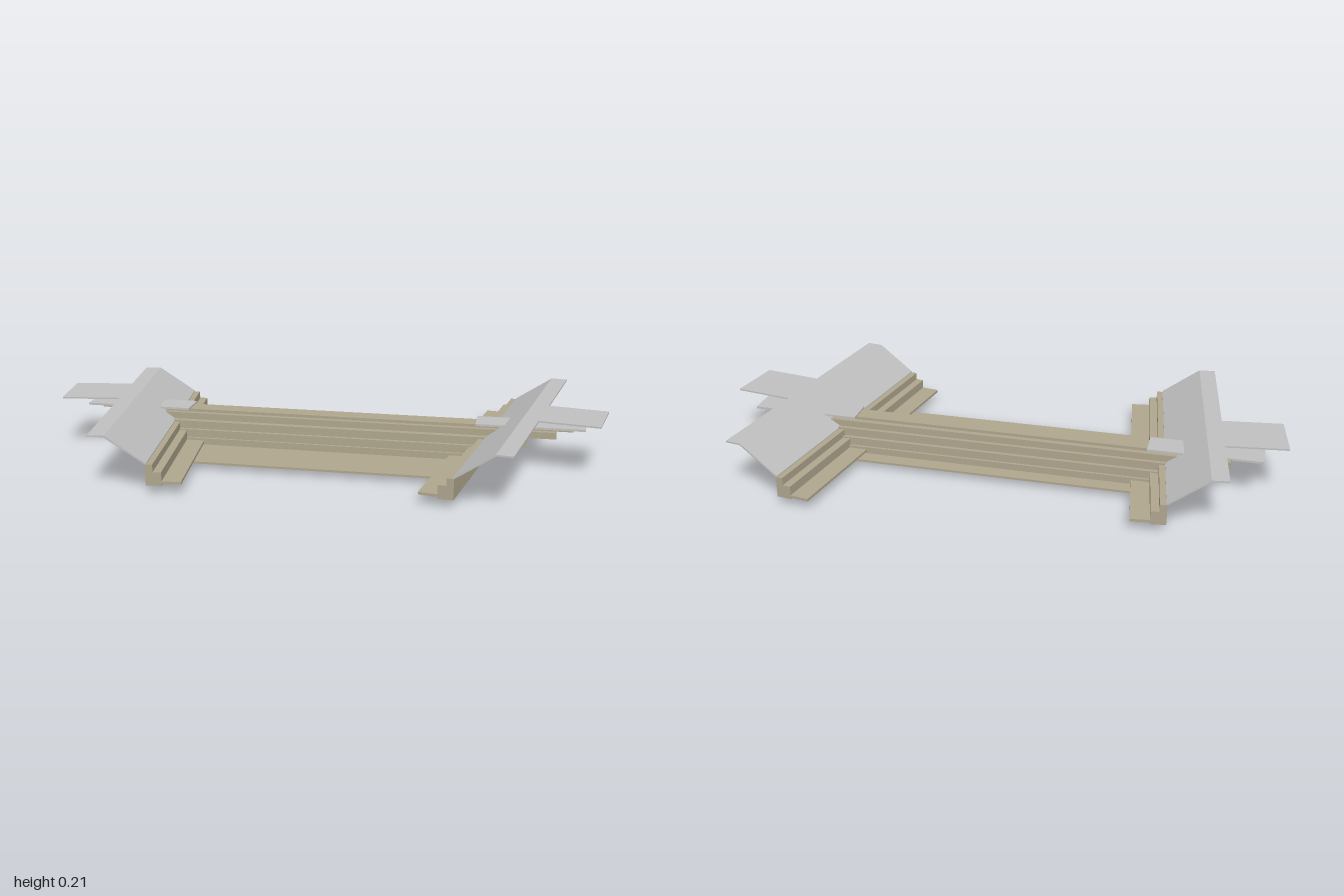
import * as THREE from 'three';

const stone = new THREE.MeshStandardMaterial({ color: 0xaea58d });
stone.name = 'sandstone';
const grey = new THREE.MeshStandardMaterial({ color: 0xbfbfbf, side: THREE.DoubleSide });
grey.name = 'pale grey';

// Box given by its limits on each axis
function slab(name, mat, [x0, x1], [y0, y1], [z0, z1]) {
  const mesh = new THREE.Mesh(new THREE.BoxGeometry(x1 - x0, y1 - y0, z1 - z0), mat);
  mesh.position.set((x0 + x1) / 2, (y0 + y1) / 2, (z0 + z1) / 2);
  mesh.name = name;
  return mesh;
}

// Group whose local +x points along (dx, dz) on the ground
function heading(name, dx, dz) {
  const group = new THREE.Group();
  group.name = name;
  group.rotation.y = -Math.atan2(dz, dx);
  return group;
}

// Cross wall: stepped kerb, thin shelf and a sloping grey apron with a landing
function crossWall(name, dx, dz, shift, z, landing) {
  const wall = heading(name, dx, dz);
  const span = (a, b) => [a + shift, b + shift];
  wall.add(slab('wallShelf', stone, span(0.431, 0.53), [0.036, 0.046], z));
  wall.add(slab('wallLowerStep', stone, span(0.5, 0.54), [0.03, 0.08], z));
  wall.add(slab('wallUpperStep', stone, span(0.53, 0.556), [0.03, 0.108], z));

  const profile = [[0.552, 0.105], [0.698, 0.205], [0.756, 0.205],
    [0.756, 0.211], [0.695, 0.211], [0.552, 0.112]];
  const shape = new THREE.Shape(profile.map(([x, y]) => new THREE.Vector2(x + shift, y)));
  const apron = new THREE.Mesh(
    new THREE.ExtrudeGeometry(shape, { depth: z[1] - z[0], bevelEnabled: false }), grey);
  apron.position.z = z[0];
  apron.name = 'slopingApron';
  wall.add(apron);
  wall.add(slab('landing', grey, span(0.756, 0.98), [0.205, 0.211], landing));
  return wall;
}

export function createModel() {
  const model = new THREE.Group();
  model.name = 'steppedCrossing';

  // Long span: thin floor and a spine whose layers get narrower and longer upwards
  const span = heading('span', 0.886, 0.463);
  span.add(slab('floor', stone, [-0.62, 0.522], [0.022, 0.03], [-0.212, 0.247]));
  const layers = [
    // start, end, bottom, top, centre, half width
    [-0.608, 0.525, 0, 0.0295, -0.036, 0.133],
    [-0.66, 0.575, 0.03, 0.055, -0.055, 0.1],
    [-0.72, 0.635, 0.055, 0.085, -0.055, 0.09],
    [-0.79, 0.71, 0.085, 0.115, -0.055, 0.075],
    [-0.9, 0.82, 0.115, 0.14, -0.06, 0.055],
    [-0.96, 0.88, 0.14, 0.151, -0.06, 0.035],
  ];
  layers.forEach(([a, b, y0, y1, c, h], i) =>
    span.add(slab(`spineLayer${i + 1}`, stone, [a, b], [y0, y1], [c - h, c + h])));

  // Grey caps over both spine ends
  for (const ends of [[-1.015, -0.6], [0.52, 0.925]])
    span.add(slab('spineCap', grey, ends, [0.149, 0.157], [-0.115, -0.01]));
  model.add(span);

  // Cross walls at either end, each at its own angle
  model.add(crossWall('leftCrossWall', 0.798, 0.602, 0, [-0.654, 0.387], [-0.248, -0.04]));
  model.add(crossWall('rightCrossWall', -0.938, -0.346, 0.096, [-0.447, 0.506], [0.03, 0.24]));
  return model;
}
